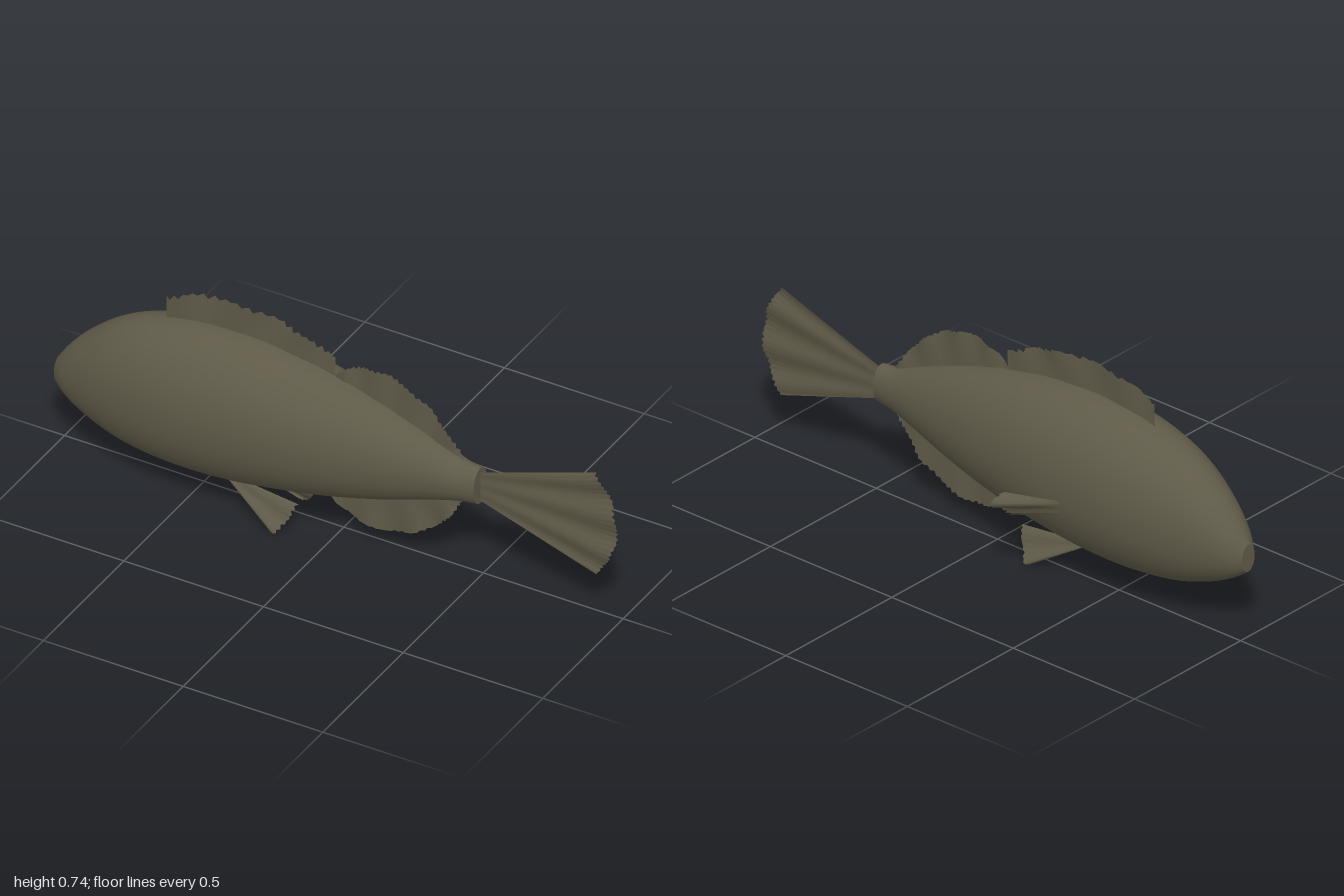
import * as THREE from 'three';

const MID = 0.037; // z of the fish's plane of symmetry
const V = (x, y, z = MID) => new THREE.Vector3(x, y, z);
const curve = (pts) => new THREE.CatmullRomCurve3(pts.map((p) => V(...p)), false, 'centripetal');

// Indexed mesh from a grid of rows; closed joins each row's end to its start
function gridGeometry(rows, closed = false) {
  const n = rows[0].length, index = [];
  for (let i = 0; i < rows.length - 1; i++) {
    for (let j = 0; j < (closed ? n : n - 1); j++) {
      const k = (j + 1) % n;
      const a = i * n + j, b = i * n + k, c = a + n, d = b + n;
      index.push(a, b, c, b, d, c);
    }
  }
  const g = new THREE.BufferGeometry().setFromPoints(rows.flat());
  g.setIndex(index);
  g.computeVertexNormals();
  return g;
}

// Body stations: x, top y, bottom y, half width
const STATIONS = [
  [-1, 0.33, 0.235, 0.03], [-0.96, 0.388, 0.206, 0.063], [-0.9, 0.455, 0.173, 0.094],
  [-0.8, 0.535, 0.135, 0.132], [-0.7, 0.585, 0.113, 0.158], [-0.55, 0.624, 0.102, 0.182],
  [-0.38, 0.64, 0.107, 0.189], [-0.2, 0.63, 0.13, 0.182], [0, 0.593, 0.165, 0.155],
  [0.2, 0.533, 0.215, 0.113], [0.35, 0.475, 0.263, 0.077], [0.45, 0.435, 0.289, 0.052],
  [0.51, 0.428, 0.296, 0.042],
];

function bodyRings() {
  const tops = curve(STATIONS.map((s) => [s[0], s[1], s[3]]));
  const bottoms = curve(STATIONS.map((s) => [s[0], s[2], 0]));
  const rings = [], steps = 60, sides = 56;
  for (let i = 0; i <= steps; i++) {
    const t = tops.getPoint(i / steps), b = bottoms.getPoint(i / steps);
    const ring = [];
    for (let j = 0; j < sides; j++) {
      const a = (j / sides) * Math.PI * 2;
      ring.push(V((t.x + b.x) / 2, (t.y + b.y) / 2 + ((t.y - b.y) / 2) * Math.cos(a), MID + t.z * Math.sin(a)));
    }
    rings.push(ring);
  }
  return rings;
}

// Flat end of the body
function capGeometry(ring, facesTail) {
  const centre = ring.reduce((s, p) => s.add(p), V(0, 0, 0)).divideScalar(ring.length);
  const rows = [ring.map(() => centre.clone()), ring];
  return gridGeometry(facesTail ? rows.reverse() : rows, true);
}

// Ruffled fin stretched between a root and a rim, with a toothed edge
function finGeometry({ root, rim, rays, wave = 0.006, ripples = 4, pleat = 0.002, tooth = 0.012, dir = V(0, 0, 1) }) {
  const r = curve(root), e = curve(rim), rows = [], steps = 6;
  for (let i = 0; i <= rays * 2; i++) {
    const u = i / (rays * 2), a = r.getPoint(u), b = e.getPoint(u);
    const back = b.clone().sub(a).normalize();
    if (i % 2) b.addScaledVector(back, -tooth * (0.6 + 0.4 * Math.sin(i * 2.3)));
    const row = [];
    for (let k = 0; k <= steps; k++) {
      const v = k / steps;
      const bend = wave * Math.sin(u * ripples * Math.PI * 2) + pleat * (i % 2 ? 1 : -1);
      row.push(a.clone().lerp(b, v).addScaledVector(dir, bend * v));
    }
    rows.push(row);
  }
  return gridGeometry(rows);
}

export function createModel() {
  const group = new THREE.Group();
  group.name = 'fish';
  const skin = new THREE.MeshStandardMaterial({ color: 0x5f5a48, side: THREE.DoubleSide });
  skin.name = 'olive skin';
  const add = (name, geometry) => {
    const mesh = new THREE.Mesh(geometry, skin);
    mesh.name = name;
    group.add(mesh);
  };

  // Body
  const rings = bodyRings();
  add('body', gridGeometry(rings, true));
  add('snoutEnd', capGeometry(rings[0], false));
  add('tailStump', capGeometry(rings[rings.length - 1], true));

  // Fins on the centre line
  add('spinyDorsalFin', finGeometry({
    root: [[-0.615, 0.59], [-0.35, 0.61], [-0.01, 0.57]],
    rim: [[-0.615, 0.69], [-0.5, 0.735], [-0.35, 0.75], [-0.2, 0.735], [-0.1, 0.705], [-0.01, 0.665]],
    rays: 18, tooth: 0.016, ripples: 3,
  }));
  add('softDorsalFin', finGeometry({
    root: [[-0.01, 0.57], [0.2, 0.51], [0.45, 0.41]],
    rim: [[-0.01, 0.61], [0.06, 0.652], [0.14, 0.667], [0.23, 0.648], [0.32, 0.595], [0.4, 0.515], [0.46, 0.425]],
    rays: 26, tooth: 0.008,
  }));
  add('analFin', finGeometry({
    root: [[-0.04, 0.18], [0.2, 0.24], [0.45, 0.31]],
    rim: [[-0.04, 0.155], [0.03, 0.095], [0.13, 0.07], [0.24, 0.088], [0.34, 0.142], [0.41, 0.215], [0.45, 0.292]],
    rays: 26, tooth: 0.008,
  }));
  add('tailFin', finGeometry({
    root: [[0.5, 0.408], [0.5, 0.36], [0.5, 0.308]],
    rim: [[0.925, 0.553], [0.975, 0.47], [1, 0.36], [0.98, 0.255], [0.925, 0.168]],
    rays: 22, wave: 0.007, ripples: 3, tooth: 0.008,
  }));

  // Pelvic fins, mirrored about the middle
  for (const s of [1, -1]) {
    add(s > 0 ? 'leftPelvicFin' : 'rightPelvicFin', finGeometry({
      root: [[-0.38, 0.13, MID + s * 0.042], [-0.36, 0.11, MID + s * 0.05]],
      rim: [[-0.11, 0.106, MID + s * 0.052], [-0.135, 0.052, MID + s * 0.08], [-0.17, 0.006, MID + s * 0.104], [-0.2, 0.018, MID + s * 0.098]],
      rays: 10, wave: 0.004, ripples: 2, tooth: 0.01, dir: V(0, 0.45, s * 0.9),
    }));
  }

  // Single pectoral fin on the far side
  add('pectoralFin', finGeometry({
    root: [[-0.39, 0.34, MID - 0.185], [-0.4, 0.29, MID - 0.175]],
    rim: [[-0.19, 0.325, -0.195], [-0.168, 0.285, -0.226], [-0.18, 0.252, -0.19], [-0.2, 0.23, -0.155]],
    rays: 10, wave: 0.005, ripples: 2, tooth: 0.014, dir: V(0.2, 0.6, 0.75),
  }));
  return group;
}
